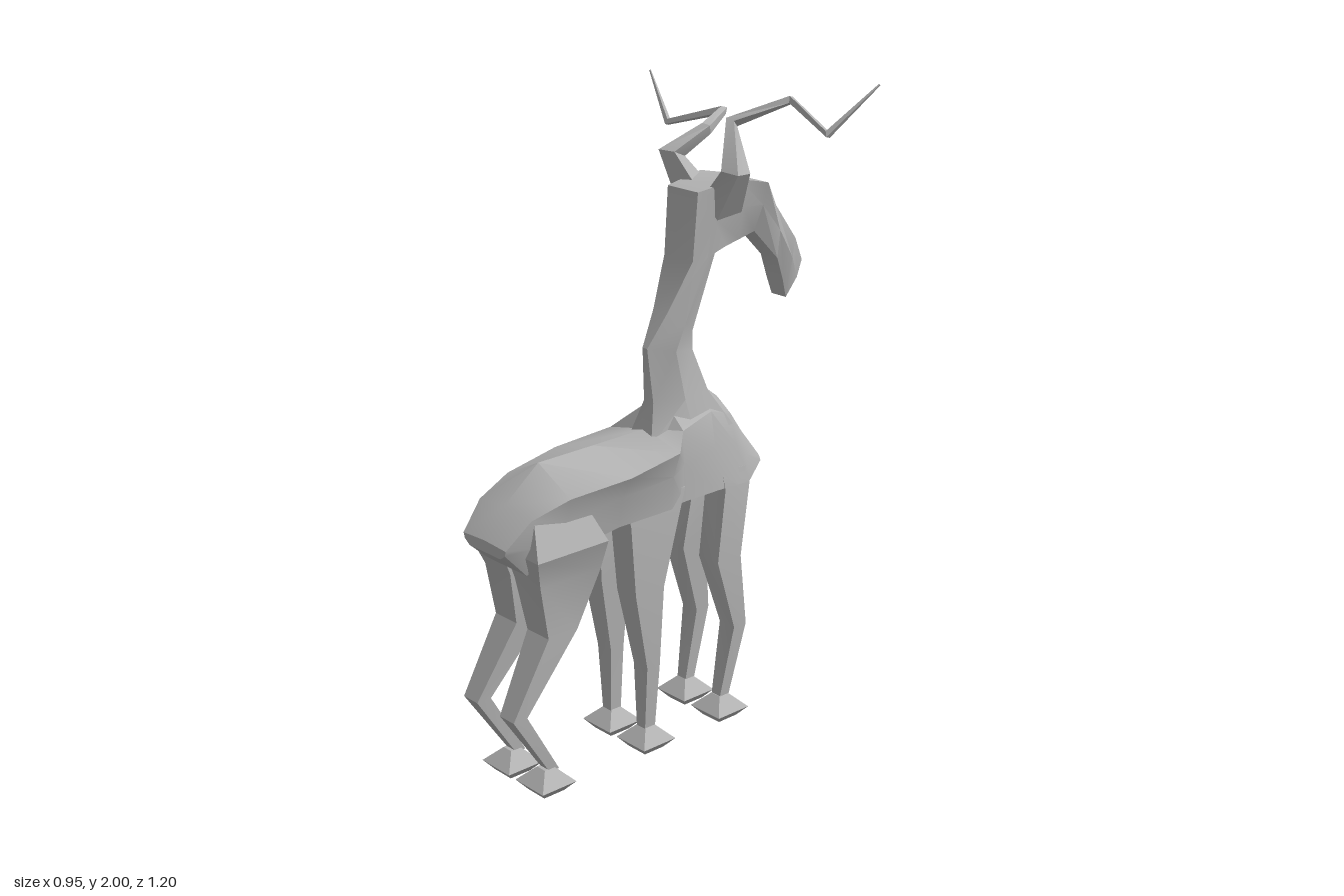
import * as THREE from 'three';
import { toCreasedNormals } from 'three/addons/utils/BufferGeometryUtils.js';

const grey = new THREE.MeshStandardMaterial({ color: 0xb2b2b2 });
grey.name = 'plain grey';

// Joins equal-sized rings of [x, y, z] points into a closed, outward-facing solid
function loft(name, rings) {
  const n = rings[0].length;
  const tris = [];
  for (let r = 0; r + 1 < rings.length; r++) {
    for (let i = 0; i < n; i++) {
      const j = (i + 1) % n;
      const a = rings[r][i], b = rings[r][j], c = rings[r + 1][j], d = rings[r + 1][i];
      tris.push([a, b, c], [a, c, d]);
    }
  }
  const first = rings[0], last = rings[rings.length - 1];
  for (let i = 1; i + 1 < n; i++) {
    tris.push([first[0], first[i + 1], first[i]], [last[0], last[i], last[i + 1]]);
  }
  // A negative volume means the rings run the other way round
  let volume = 0;
  for (const [a, b, c] of tris) {
    volume += new THREE.Vector3(...a).dot(new THREE.Vector3(...b).cross(new THREE.Vector3(...c)));
  }
  if (volume < 0) tris.forEach((t) => t.reverse());
  const geo = new THREE.BufferGeometry();
  geo.setAttribute('position', new THREE.Float32BufferAttribute(tris.flat(2), 3));
  const mesh = new THREE.Mesh(toCreasedNormals(geo, 0.55), grey);
  mesh.name = name;
  return mesh;
}

// Trunk: z, top y, ridge half width and y, flank half width and y, belly half width and y
function makeTrunk() {
  const sections = [
    [0.595, 0.80, 0.095, 0.795, 0.09, 0.78, 0.07, 0.765],
    [0.52, 0.885, 0.115, 0.87, 0.12, 0.79, 0.09, 0.70],
    [0.40, 0.98, 0.14, 0.91, 0.125, 0.84, 0.10, 0.73],
    [0.20, 0.982, 0.17, 0.93, 0.13, 0.86, 0.115, 0.765],
    [0.0, 0.985, 0.153, 0.95, 0.125, 0.87, 0.115, 0.765],
    [-0.06, 1.08, 0.10, 0.99, 0.105, 0.88, 0.105, 0.77],
    [-0.20, 1.09, 0.07, 1.01, 0.09, 0.90, 0.105, 0.77],
    [-0.29, 1.02, 0.06, 0.98, 0.085, 0.89, 0.11, 0.77],
    [-0.325, 0.95, 0.07, 0.92, 0.095, 0.85, 0.11, 0.77],
    [-0.38, 0.84, 0.09, 0.837, 0.095, 0.83, 0.10, 0.82],
  ];
  return loft('trunk', sections.map(([z, top, rw, ry, fw, fy, bw, by]) => [
    [0, top, z], [rw, ry, z], [fw, fy, z], [bw, by, z],
    [-bw, by, z], [-fw, fy, z], [-rw, ry, z],
  ]));
}

// Neck and head: back (z, y), front (z, y), half widths at back, middle and front
function makeNeckAndHead() {
  const sections = [
    [0.02, 0.95, -0.29, 0.95, 0.05, 0.09, 0.07],
    [-0.015, 1.065, -0.205, 1.07, 0.02, 0.065, 0.05],
    [0.0, 1.23, -0.16, 1.20, 0.01, 0.055, 0.03],
    [-0.06, 1.33, -0.16, 1.26, 0.03, 0.06, 0.03],
    [-0.13, 1.475, -0.25, 1.485, 0.06, 0.065, 0.03],
    [-0.145, 1.675, -0.27, 1.495, 0.063, 0.068, 0.05],
    [-0.29, 1.695, -0.33, 1.505, 0.08, 0.08, 0.045],
    [-0.40, 1.67, -0.40, 1.515, 0.09, 0.07, 0.035],
    [-0.50, 1.575, -0.50, 1.415, 0.025, 0.045, 0.035],
    [-0.56, 1.47, -0.525, 1.345, 0.05, 0.055, 0.035],
    [-0.60, 1.395, -0.545, 1.285, 0.04, 0.045, 0.03],
  ];
  return loft('neckAndHead', sections.map(([az, ay, bz, by, wa, wm, wb]) => {
    const mz = az + (bz - az) * 0.45, my = ay + (by - ay) * 0.45;
    return [[wa, ay, az], [wm, my, mz], [wb, by, bz], [-wb, by, bz], [-wm, my, mz], [-wa, ay, az]];
  }));
}

// Legs: y, rear z, front z, inner x, outer x
const LEGS = {
  hindLeg: {
    hoofZ: 0.455,
    rings: [
      [0.86, 0.51, 0.32, 0.03, 0.115],
      [0.76, 0.535, 0.28, 0.01, 0.16],
      [0.665, 0.50, 0.28, 0.01, 0.125],
      [0.50, 0.47, 0.365, 0.025, 0.12],
      [0.278, 0.597, 0.548, 0.052, 0.115],
      [0.065, 0.455, 0.42, 0.06, 0.096],
    ],
  },
  middleLeg: {
    hoofZ: 0.065,
    rings: [
      [0.82, 0.17, -0.06, 0.03, 0.11],
      [0.75, 0.155, -0.035, 0.025, 0.115],
      [0.53, 0.14, 0.03, 0.035, 0.118],
      [0.28, 0.09, 0.04, 0.052, 0.112],
      [0.065, 0.085, 0.045, 0.06, 0.096],
    ],
  },
  frontLeg: {
    hoofZ: -0.243,
    rings: [
      [0.82, -0.22, -0.33, 0.03, 0.10],
      [0.765, -0.225, -0.325, 0.025, 0.11],
      [0.54, -0.19, -0.285, 0.035, 0.118],
      [0.305, -0.265, -0.315, 0.052, 0.115],
      [0.065, -0.225, -0.262, 0.06, 0.096],
    ],
  },
};

// Square hoof: short flare from the sole, then a low pyramid up to the ankle
function makeHoof(x, z) {
  const square = (h, y) => [[x - h, y, z - h], [x + h, y, z - h], [x + h, y, z + h], [x - h, y, z + h]];
  return loft('hoof', [square(0.037, 0), square(0.063, 0.03), square(0.018, 0.075)]);
}

function makeLeg(name, side) {
  const { hoofZ, rings } = LEGS[name];
  const leg = new THREE.Group();
  leg.name = (side > 0 ? 'left ' : 'right ') + name;
  leg.add(loft('limb', rings.map(([y, z0, z1, xi, xo]) => [
    [side * xi, y, z0], [side * xo, y, z0], [side * xo, y, z1], [side * xi, y, z1],
  ])));
  leg.add(makeHoof(side * 0.078, hoofZ));
  return leg;
}

// Antler: tapering four-sided branch through points [x, y, z, radius]
function makeAntler(name, path) {
  const pts = path.map((p) => new THREE.Vector3(p[0], p[1], p[2]));
  const ref = new THREE.Vector3(0.2, 0.3, 1);
  const rings = pts.map((p, i) => {
    const dir = new THREE.Vector3();
    if (i > 0) dir.add(p.clone().sub(pts[i - 1]).normalize());
    if (i + 1 < pts.length) dir.add(pts[i + 1].clone().sub(p).normalize());
    dir.normalize();
    const u = new THREE.Vector3().crossVectors(dir, ref).normalize();
    const v = new THREE.Vector3().crossVectors(dir, u);
    return [0, 1, 2, 3].map((k) => {
      const a = (k + 0.5) * Math.PI / 2;
      return p.clone().addScaledVector(u, Math.cos(a) * path[i][3])
        .addScaledVector(v, Math.sin(a) * path[i][3]).toArray();
    });
  });
  return loft(name, rings);
}

export function createModel() {
  const model = new THREE.Group();
  model.name = 'sixLeggedStag';

  const body = new THREE.Group();
  body.name = 'body';
  body.position.x = 0.008;
  body.add(makeTrunk(), makeNeckAndHead());
  for (const name of Object.keys(LEGS)) {
    for (const side of [1, -1]) body.add(makeLeg(name, side));
  }
  model.add(body);

  // The two antlers branch differently
  model.add(makeAntler('leftAntler', [
    [0.06, 1.62, -0.25, 0.06], [0.15, 1.735, -0.215, 0.042], [0.075, 1.86, -0.27, 0.02],
    [0.175, 1.92, -0.405, 0.014], [0.39, 1.864, -0.33, 0.012], [0.47, 1.998, -0.445, 0.003],
  ]));
  model.add(makeAntler('rightAntler', [
    [-0.045, 1.62, -0.25, 0.06], [-0.115, 1.75, -0.215, 0.04], [-0.07, 1.815, -0.31, 0.02],
    [-0.17, 1.833, -0.475, 0.014], [-0.345, 1.78, -0.41, 0.012], [-0.475, 1.915, -0.455, 0.003],
  ]));
  return model;
}
